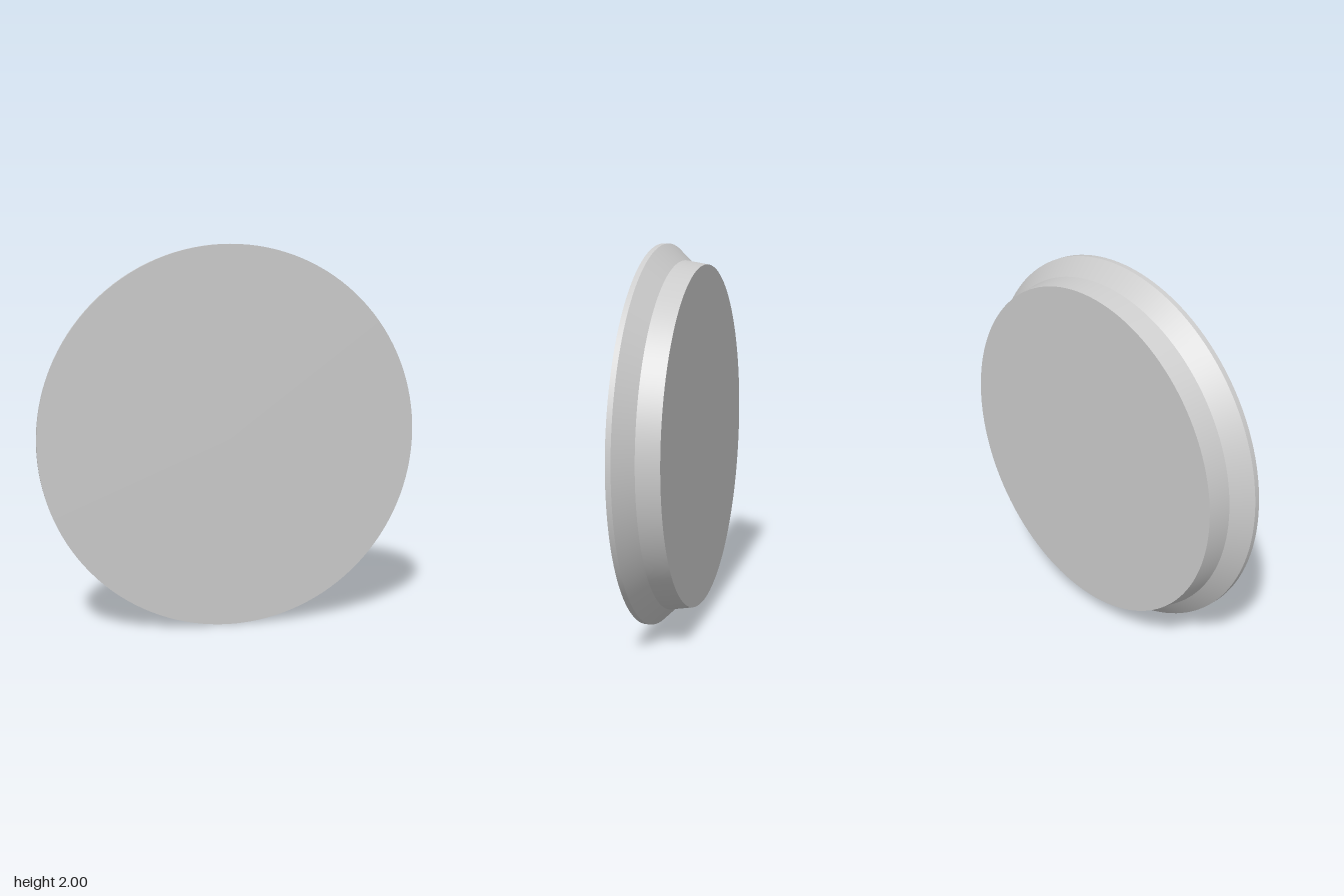
import * as THREE from 'three';

const SEGMENTS = 128;

export function createModel() {
  const model = new THREE.Group();
  model.name = 'disc';
  const material = new THREE.MeshStandardMaterial({ color: 0xcccccc });

  const add = (name, geometry, z) => {
    const mesh = new THREE.Mesh(geometry, material);
    mesh.name = name;
    mesh.position.set(0, 1, z);
    model.add(mesh);
    return mesh;
  };

  // Side bands from back to front: [name, back z, back radius, front z, front radius]
  const bands = [
    ['taperedBase', -0.115, 0.895, 0, 0.915],
    ['flaredShoulder', 0, 0.915, 0.088, 1],
    ['frontRim', 0.088, 1, 0.115, 1],
  ];
  for (const [name, z0, r0, z1, r1] of bands) {
    const band = new THREE.CylinderGeometry(r1, r0, z1 - z0, SEGMENTS, 1, true);
    band.rotateX(Math.PI / 2);
    add(name, band, (z0 + z1) / 2);
  }

  // Flat faces closing both ends
  add('frontFace', new THREE.CircleGeometry(1, SEGMENTS), 0.115);
  add('backFace', new THREE.CircleGeometry(0.895, SEGMENTS).rotateY(Math.PI), -0.115);

  return model;
}
